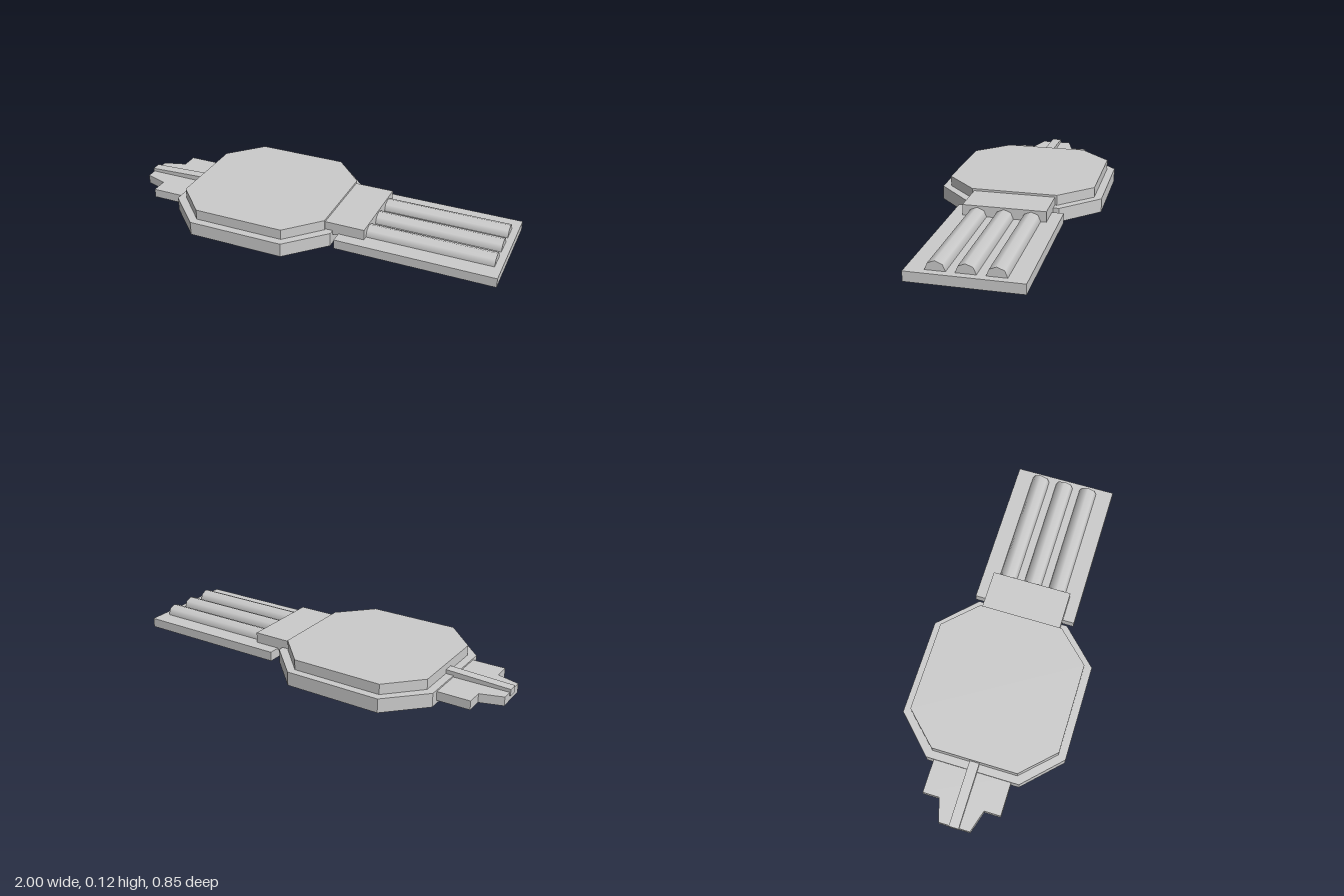
import * as THREE from 'three';

const material = new THREE.MeshStandardMaterial({ color: 0xcccccc });

function add(group, name, geometry) {
  const mesh = new THREE.Mesh(geometry, material);
  mesh.name = name;
  group.add(mesh);
  return mesh;
}

// Flat slab from half an outline of [x, z] points, mirrored across z = 0
function slab(half, y0, y1) {
  const mirrored = half.map(([x, z]) => [x, -z]).reverse();
  const shape = new THREE.Shape([...half, ...mirrored].map(([x, z]) => new THREE.Vector2(x, z)));
  const geometry = new THREE.ExtrudeGeometry(shape, { depth: y1 - y0, bevelEnabled: false });
  return geometry.rotateX(-Math.PI / 2).translate(0, y0, 0);
}

function box(x0, x1, y0, y1, width) {
  return new THREE.BoxGeometry(x1 - x0, y1 - y0, width).translate((x0 + x1) / 2, (y0 + y1) / 2, 0);
}

export function createModel() {
  const group = new THREE.Group();
  group.name = 'model';

  // Two-step octagonal body
  add(group, 'lowerBody', slab([[-0.71, 0.24], [-0.525, 0.425], [-0.025, 0.425], [0.16, 0.24]], 0, 0.072));
  add(group, 'upperBody', slab([[-0.67, 0.22], [-0.51, 0.385], [-0.04, 0.385], [0.12, 0.22]], 0.072, 0.125));

  // Bridge from the body to the long deck
  add(group, 'bridge', box(0.115, 0.325, 0.05, 0.114, 0.42));
  add(group, 'deck', box(0.19, 1, 0.011, 0.06, 0.54));

  // Three half-round tubes lying on the deck
  for (const z of [-0.135, 0, 0.135]) {
    const tube = new THREE.CylinderGeometry(0.048, 0.048, 0.66, 4, 1, false, 0, Math.PI);
    tube.rotateZ(Math.PI / 2);
    const mesh = add(group, 'deckTube', tube);
    mesh.position.set(0.635, 0.058, z);
  }

  // Stepped, tapering tail
  add(group, 'tail', slab([[-0.995, 0.08], [-0.88, 0.115], [-0.88, 0.2], [-0.68, 0.2]], 0.018, 0.064));

  // Sloping rail along the middle of the tail
  const profile = new THREE.Shape([[-1, 0.045], [-0.65, 0.058], [-0.65, 0.094], [-1, 0.08]]
    .map(([x, y]) => new THREE.Vector2(x, y)));
  add(group, 'tailRail', new THREE.ExtrudeGeometry(profile, { depth: 0.05, bevelEnabled: false })
    .translate(0, 0, -0.025));

  return group;
}
